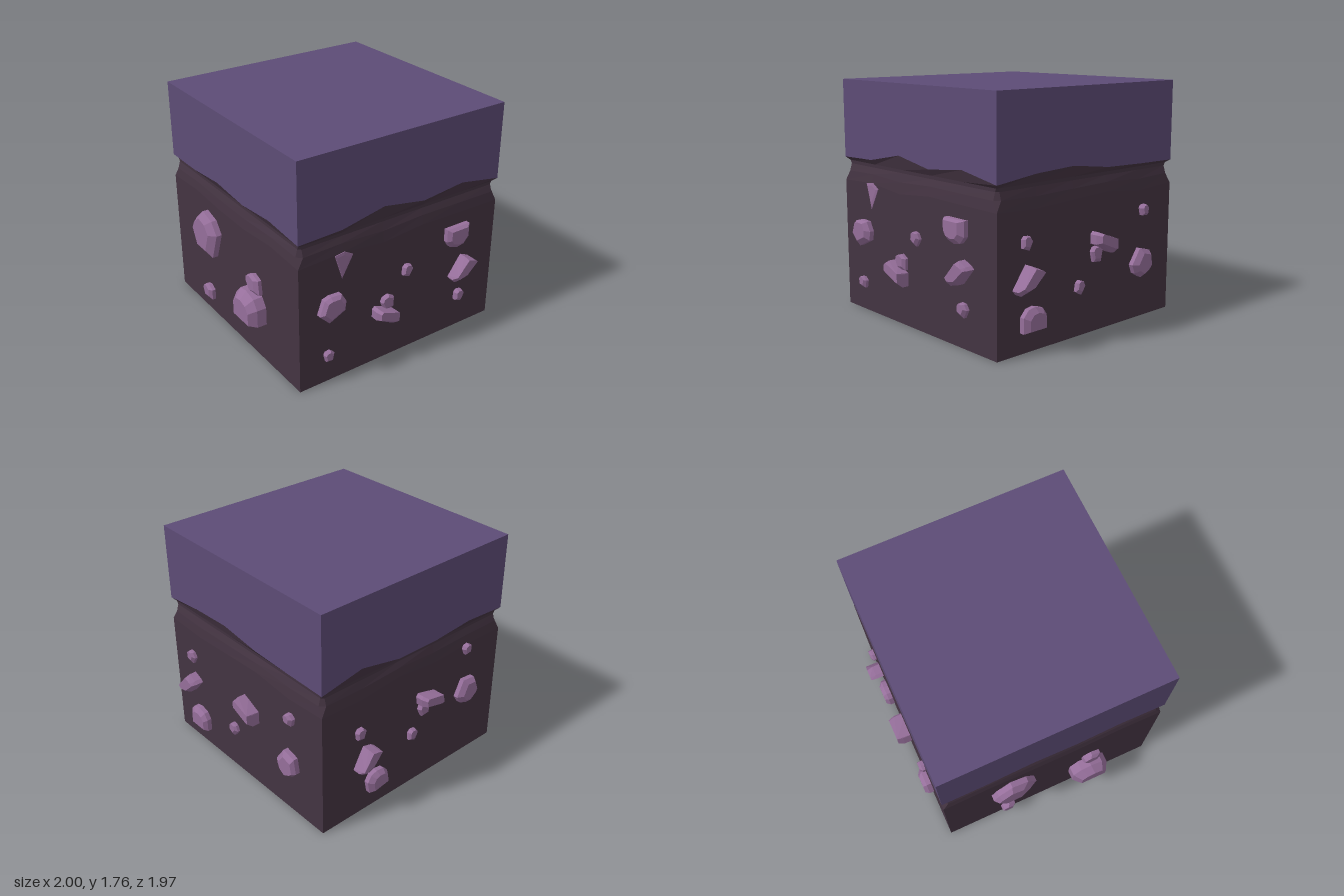
import * as THREE from 'three';
import { ConvexGeometry } from 'three/addons/geometries/ConvexGeometry.js';

const HALF = 0.88, TOP = 1.765, SEGMENTS = 5;

const paint = (color) => new THREE.MeshStandardMaterial({ color, flatShading: true, roughness: 1 });

// Height of the ragged cap edge along each side: front, right, back, left
const EDGE = [
  [1.17, 1.18, 1.25, 1.19, 1.23, 1.17],
  [1.17, 1.21, 1.225, 1.18, 1.17, 1.165],
  [1.165, 1.23, 1.16, 1.16, 1.19, 1.17],
  [1.17, 1.17, 1.2, 1.17, 1.2, 1.17],
];

// One closed ring round the block; chip cuts the corners off
function ring(height, inset = 0, chip = 0) {
  const points = [];
  for (let side = 0; side < 4; side++) {
    for (let i = 0; i <= SEGMENTS; i++) {
      const reach = HALF - inset;
      const end = i === 0 || i === SEGMENTS;
      const u = (i / SEGMENTS * 2 - 1) * (end ? reach - chip : reach);
      points.push(new THREE.Vector3(u, height(side, i), reach)
        .applyAxisAngle(new THREE.Vector3(0, 1, 0), side * Math.PI / 2));
    }
  }
  return points;
}

// Skin a stack of rings from bottom to top, with optional flat ends
function loft(rings, closeBottom, closeTop) {
  const count = rings[0].length, position = [];
  const triangle = (...corners) => corners.forEach((p) => position.push(p.x, p.y, p.z));
  for (let i = 0; i < count; i++) {
    const j = (i + 1) % count;
    for (let r = 0; r + 1 < rings.length; r++) {
      const low = rings[r], high = rings[r + 1];
      triangle(low[i], low[j], high[j]);
      triangle(low[i], high[j], high[i]);
    }
    const first = rings[0], last = rings[rings.length - 1];
    if (closeBottom) triangle(new THREE.Vector3(0, first[0].y, 0), first[j], first[i]);
    if (closeTop) triangle(new THREE.Vector3(0, last[0].y, 0), last[i], last[j]);
  }
  const geometry = new THREE.BufferGeometry();
  geometry.setAttribute('position', new THREE.Float32BufferAttribute(position, 3));
  geometry.computeVertexNormals();
  return geometry;
}

// Stone outlines, seen facing the wall
const OUTLINES = {
  pebble: [[-0.045, 0.02], [-0.03, -0.04], [0.03, -0.045], [0.045, 0.02], [0.01, 0.05], [-0.03, 0.045]],
  lump: [[-0.11, -0.03], [-0.03, -0.11], [0.1, -0.05], [0.11, 0.02], [0.07, 0.09], [-0.02, 0.095], [-0.07, 0.08]],
  boulder: [[-0.105, -0.02], [-0.07, -0.07], [0, -0.09], [0.06, -0.08], [0.105, -0.03], [0.105, 0.08], [-0.105, 0.08]],
  shard: [[-0.105, -0.06], [-0.08, -0.09], [0, -0.07], [0.105, 0.05], [0.08, 0.07], [0.01, 0.1]],
  slab: [[-0.09, 0.065], [-0.07, 0.085], [0.09, 0.01], [0.09, -0.085], [0.06, -0.08], [-0.09, 0.0]],
  chip: [[-0.08, 0.095], [0, 0.105], [0.07, 0.065], [-0.02, -0.095]],
};

// Faceted stone: straight sides, then a bevel up to a smaller off-centre face
function stoneGeometry(kind, depth) {
  const points = [];
  const long = kind === 'shard' || kind === 'slab';
  for (const [x, y] of OUTLINES[kind]) {
    points.push(new THREE.Vector3(x, y, -0.04));
    points.push(new THREE.Vector3(x, y, depth * 0.55));
    points.push(long
      ? new THREE.Vector3(x * 0.9 + 0.005, y * 0.72 + 0.015, depth)
      : new THREE.Vector3(x * 0.7 - 0.008, y * 0.7 + 0.01, depth));
  }
  return new ConvexGeometry(points);
}

// Per side: kind, across, height, depth, scale, turn in degrees
const STONES = [
  [ // front
    ['lump', -0.625, 0.62, 0.065, 1, 0], ['chip', -0.51, 0.905, 0.008, 1, 0],
    ['pebble', 0.035, 0.68, 0.04, 1, -20], ['boulder', 0.49, 0.82, 0.065, 1, 0],
    ['shard', 0.55, 0.53, 0.1, 1, 0], ['pebble', 0.555, 0.28, 0.045, 1, -15],
    ['slab', -0.175, 0.39, 0.1, 1, 0], ['pebble', -0.135, 0.475, 0.04, 1.25, 10],
    ['pebble', -0.645, 0.22, 0.04, 0.9, 0],
  ],
  [ // right
    ['pebble', -0.63, 0.76, 0.04, 1, -15], ['shard', -0.64, 0.515, 0.105, 1, 0],
    ['boulder', -0.57, 0.23, 0.065, 1, 180], ['pebble', -0.12, 0.36, 0.04, 1, -25],
    ['slab', 0.09, 0.655, 0.105, 1.02, 0], ['pebble', 0.05, 0.57, 0.04, 1.25, 0],
    ['pebble', 0.56, 0.82, 0.05, 0.9, 0], ['lump', 0.535, 0.43, 0.065, 1, 210],
  ],
  [ // back
    ['pebble', -0.545, 0.71, 0.04, 1, -5], ['shard', -0.505, 0.485, 0.105, 0.95, 8],
    ['boulder', -0.39, 0.245, 0.065, 0.9, 190], ['pebble', -0.03, 0.45, 0.04, 1, -15],
    ['slab', 0.105, 0.71, 0.105, 1, 10], ['pebble', 0.08, 0.63, 0.04, 1.2, 10],
    ['pebble', 0.515, 0.96, 0.04, 0.9, 10], ['lump', 0.53, 0.6, 0.065, 1, 220],
  ],
  [ // left
    ['lump', -0.33, 0.72, 0.08, 1.65, 45], ['boulder', 0.31, 0.44, 0.135, 1.38, 180],
    ['pebble', 0.34, 0.61, 0.05, 1.7, 20], ['pebble', -0.37, 0.18, 0.05, 1.3, 10],
  ],
];

export function createModel() {
  const model = new THREE.Group();
  model.name = 'groundBlock';
  const block = new THREE.Group();
  block.name = 'block';
  block.position.x = 0.015;
  model.add(block);

  const edge = (side, i) => EDGE[side][i];
  const flat = (y) => () => y;
  const uneven = (y, amount) => (side, i) =>
    (i === 0 || i === SEGMENTS ? y : y + amount * Math.sin(i * 2.3 + side * 1.7));

  // Soil with a shallow groove under the overhanging cap
  const soil = new THREE.Mesh(loft([
    ring(flat(0)),
    ring(uneven(0.99, 0.02)),
    ring(uneven(1.065, 0.01), 0.01, 0.035),
    ring(flat(1.12), 0.026, 0.02),
    ring(flat(1.145), 0.024, 0.01),
    ring(edge),
  ], true, false), paint(0x443442));
  soil.name = 'soil';
  block.add(soil);

  // Cap with a ragged lower edge
  const cap = new THREE.Mesh(loft([ring(edge), ring(flat(TOP))], false, true), paint(0x5d4c76));
  cap.name = 'cap';
  block.add(cap);

  // Stones set into the four soil walls
  const stoneMaterial = paint(0x966f9b);
  STONES.forEach((list, side) => {
    const wall = new THREE.Group();
    wall.name = ['front', 'right', 'back', 'left'][(4 - side) % 4] + 'Stones';
    wall.rotation.y = side * Math.PI / 2;
    for (const [kind, across, height, depth, scale, turn] of list) {
      const stone = new THREE.Mesh(stoneGeometry(kind, depth), stoneMaterial);
      stone.name = kind;
      stone.position.set(across, height, HALF);
      stone.rotation.z = THREE.MathUtils.degToRad(turn);
      stone.scale.set(scale, scale, 1);
      wall.add(stone);
    }
    block.add(wall);
  });
  return model;
}
